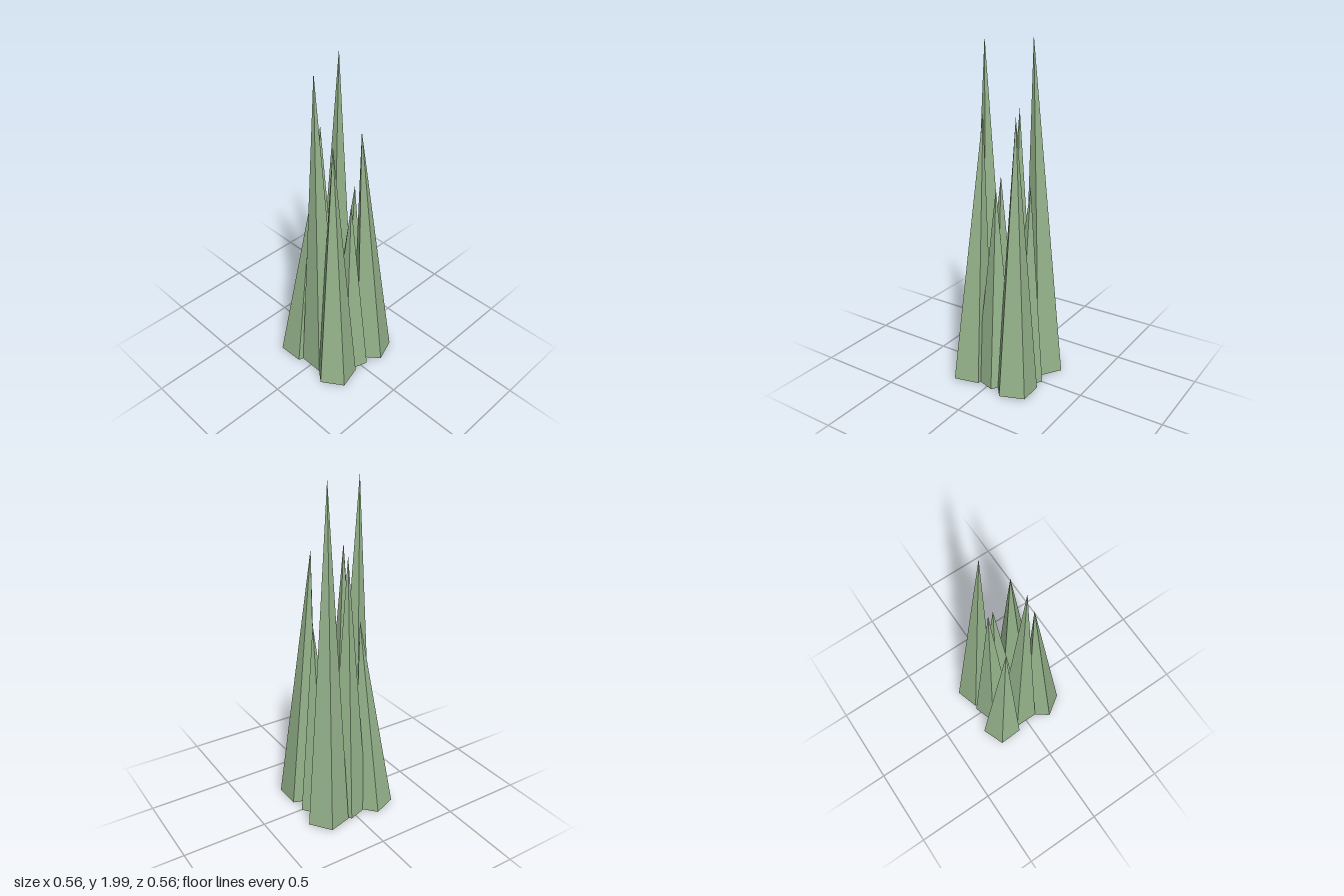
import * as THREE from 'three';

const RADIUS = 0.1255;

// Five-sided spike: base centre, apex, and the compass angle of one base corner.
function spikeGeometry({ base, tip, corner }) {
  const geo = new THREE.ConeGeometry(RADIUS, 1, 5, 1);
  geo.rotateY(THREE.MathUtils.degToRad(90 - corner));
  geo.translate(0, 0.5, 0);
  const leanX = tip[0] - base[0];
  const leanZ = tip[2] - base[2];
  const pos = geo.attributes.position;
  for (let i = 0; i < pos.count; i++) {
    const x = pos.getX(i), t = pos.getY(i), z = pos.getZ(i);
    // the base plane stays square to the leaning axis
    const drop = (x * leanX + z * leanZ) / 2;
    pos.setXYZ(
      i,
      base[0] + x + t * leanX,
      base[1] + t * (tip[1] - base[1]) - drop,
      base[2] + z + t * leanZ
    );
  }
  geo.computeVertexNormals();
  return geo;
}

export function createModel() {
  const group = new THREE.Group();
  group.name = 'spikeCluster';
  const green = new THREE.MeshStandardMaterial({ color: 0x95b38b, flatShading: true });
  green.name = 'leafGreen';

  const spikes = [
    // inner ring
    { name: 'frontSpike', base: [0, 0.008, 0.118], tip: [0, 1.99, 0.148], corner: -90 },
    { name: 'backSpike', base: [0, 0.008, -0.118], tip: [0, 1.2, -0.149], corner: -90 },
    { name: 'leftSpike', base: [0.118, 0.01, 0], tip: [0.118, 1.2, 0], corner: -90 },
    { name: 'rightSpike', base: [-0.118, 0.01, 0], tip: [-0.118, 1.6, 0], corner: -90 },
    // corner spikes leaning inwards
    { name: 'backRightSpike', base: [-0.156, 0.014, -0.159], tip: [-0.085, 2, -0.105], corner: 198.5 },
    { name: 'backLeftSpike', base: [0.158, 0.014, -0.158], tip: [0.084, 1.6, -0.105], corner: -56.4 },
    { name: 'frontRightSpike', base: [-0.157, 0.014, 0.155], tip: [-0.085, 1.2, 0.104], corner: 122.8 },
    { name: 'frontLeftSpike', base: [0.155, 0.014, 0.155], tip: [0.084, 1.6, 0.104], corner: 19.9 },
  ];

  for (const spike of spikes) {
    const mesh = new THREE.Mesh(spikeGeometry(spike), green);
    mesh.name = spike.name;
    group.add(mesh);
  }
  return group;
}
